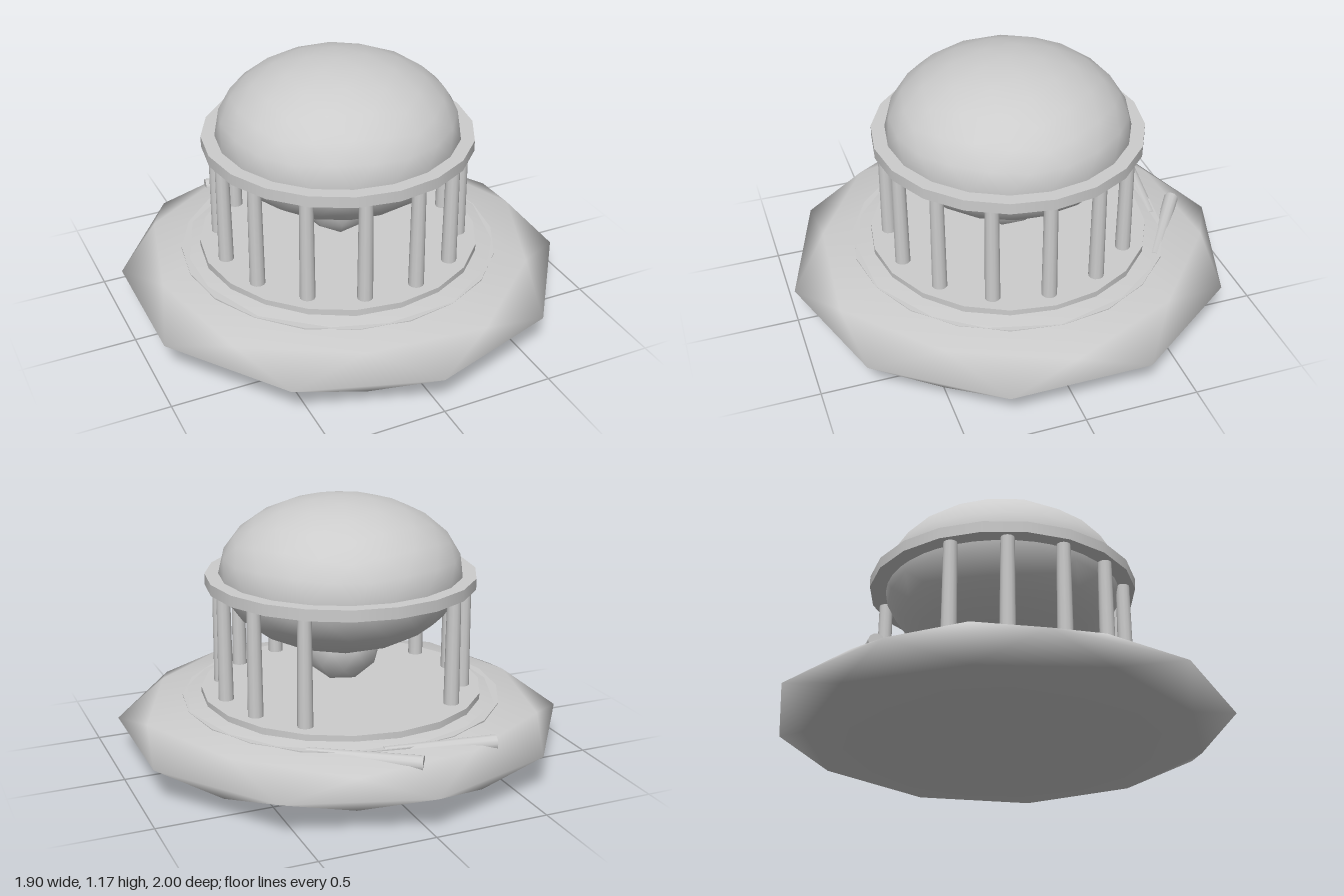
import * as THREE from 'three';

export function createModel() {
  const model = new THREE.Group();
  const stone = new THREE.MeshStandardMaterial({ color: 0xcccccc });
  stone.name = 'pale stone';
  const cx = -0.012, cz = -0.005;

  const add = (name, geometry, x, y, z) => {
    const mesh = new THREE.Mesh(geometry, stone);
    mesh.name = name;
    mesh.position.set(x, y, z);
    model.add(mesh);
    return mesh;
  };

  // Squashed ball with one icosahedron corner turned straight up
  const ball = (radius, halfHeight, detail) =>
    new THREE.IcosahedronGeometry(1, detail)
      .rotateZ(-Math.atan(2 / (1 + Math.sqrt(5))))
      .scale(radius, halfHeight, radius);

  const disc = (name, radius, bottom, top) =>
    add(name, new THREE.CylinderGeometry(radius, radius, top - bottom, 20),
      cx, (top + bottom) / 2, cz);

  // Floating island, levelled under the floor
  const island = ball(1, 0.163, 1);
  const p = island.attributes.position;
  for (let i = 0; i < p.count; i++) p.setY(i, Math.min(p.getY(i), 0.135));
  add('island', island, -0.005, 0.163, 0);

  // Floor steps
  disc('lowerStep', 0.715, 0.22, 0.268);
  disc('floor', 0.63, 0.25, 0.305);

  // Ring beam, dome and hanging pendant
  disc('ringBeam', 0.6, 0.78, 0.83);
  add('dome', ball(0.54, 0.34, 3), cx, 0.83, cz);
  add('pendant', ball(0.18, 0.18, 1), cx, 0.507, cz);

  // Fourteen column places; the two at the back have fallen
  const height = 0.48;
  const column = new THREE.CylinderGeometry(0.03, 0.034, height, 12);
  for (let i = 0; i < 14; i++) {
    if (i === 6 || i === 7) continue;
    const a = (i + 0.5) * Math.PI / 7;
    add('column', column, cx + 0.545 * Math.sin(a), 0.305 + height / 2, cz + 0.545 * Math.cos(a));
  }

  // Fallen columns, half sunk in the ground: foot position and heading
  const up = new THREE.Vector3(0, 1, 0);
  for (const [x, z, dx, dz] of [[-0.39, -0.755, 0.42, 0.065], [-0.02, -0.835, 0.345, 0.235]]) {
    const dir = new THREE.Vector3(dx, 0, dz).normalize();
    const fallen = add('fallenColumn', column,
      x + dir.x * height / 2, 0.242, z + dir.z * height / 2);
    fallen.quaternion.setFromUnitVectors(up, dir);
  }

  return model;
}
